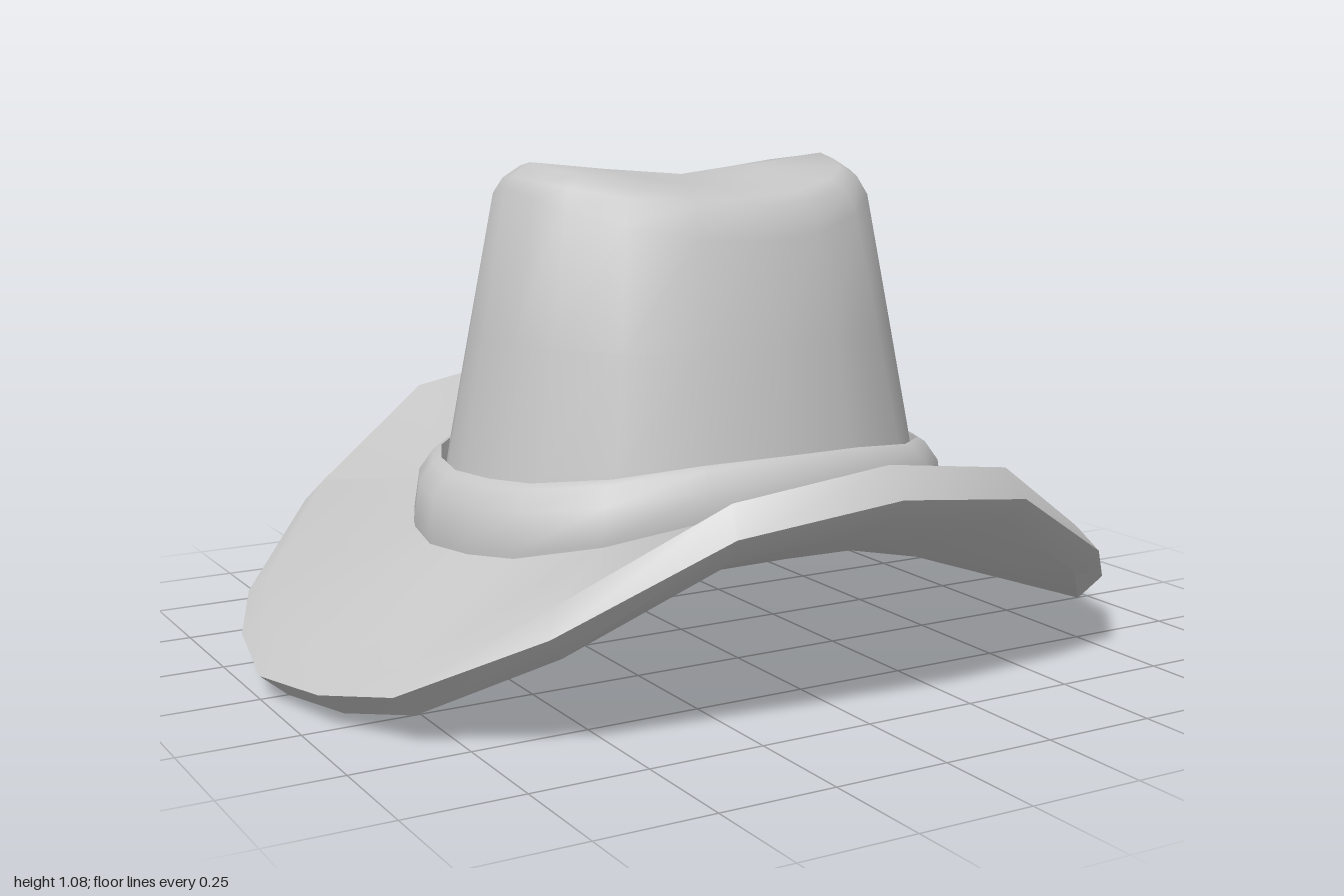
import * as THREE from 'three';
import { toCreasedNormals } from 'three/addons/utils/BufferGeometryUtils.js';

// One quarter of the 20-sided oval, from front centre to the side:
// x factor, z factor, and how far the height leans to the front value.
const QUARTER = [
  [0, 1, 1], [0.34, 0.94, 0.89], [0.66, 0.78, 0.47],
  [0.88, 0.51, 0.14], [0.96, 0.28, 0.05], [1, 0, 0],
];

// Mirror the quarter into a full loop running front -> +x -> back -> -x
const OVAL = [];
for (let i = 0; i < 20; i++) {
  const q = Math.floor(i / 5), k = i % 5;
  const [x, z, w] = QUARTER[q % 2 ? 5 - k : k];
  OVAL.push([q < 2 ? x : -x, q === 0 || q === 3 ? z : -z, w]);
}

// Skin a list of rings [xRadius, zRadius, sideHeight, frontHeight];
// a lower lean makes the height fall away from the sides sooner
function loft(rings, creaseAngle, lean) {
  const n = OVAL.length, pos = [], index = [];
  for (const [rx, rz, ySide, yFront] of rings) {
    for (const [x, z, w] of OVAL) {
      pos.push(x * rx, ySide + (yFront - ySide) * Math.pow(w, lean), z * rz);
    }
  }
  for (let r = 0; r < rings.length - 1; r++) {
    for (let j = 0; j < n; j++) {
      const a = r * n + j, b = r * n + (j + 1) % n, c = b + n, d = a + n;
      if (rings[r][0] > 0) index.push(a, b, rings[r + 1][0] > 0 ? c : d);
      if (rings[r + 1][0] > 0) index.push(a, c, d);
    }
  }
  const geo = new THREE.BufferGeometry();
  geo.setAttribute('position', new THREE.Float32BufferAttribute(pos, 3));
  geo.setIndex(index);
  return toCreasedNormals(geo, creaseAngle);
}

export function createModel() {
  const hat = new THREE.Group();
  hat.name = 'hat';
  const felt = new THREE.MeshStandardMaterial({ color: 0xc6c6c6 });
  felt.name = 'grey felt';

  const add = (name, rings, crease, lean = 1) => {
    const mesh = new THREE.Mesh(loft(rings, crease, lean), felt);
    mesh.name = name;
    hat.add(mesh);
  };

  // Brim with the hollow lining: lining top, down the inside, out under
  // the brim, around the bevelled rim and back in over the top
  add('brimAndLining', [
    [0, 0, 0.96, 0.96],
    [0.33, 0.25, 0.98, 0.92],
    [0.375, 0.29, 0.92, 0.86],
    [0.435, 0.35, 0.6, 0.62],
    [0.47, 0.38, 0.32, 0.38],
    [0.49, 0.4, 0.23, 0.31],
    [0.535, 0.44, 0.175, 0.272],
    [0.94, 0.81, 0.005, 0.43],
    [1, 0.85, 0.055, 0.48],
    [0.95, 0.8, 0.1, 0.54],
    [0.62, 0.5, 0.285, 0.395],
    [0.53, 0.435, 0.33, 0.37],
  ], 0.85);

  // Crown: tapered wall, rounded shoulder and saddle-shaped top
  add('crown', [
    [0.56, 0.46, 0.28, 0.36],
    [0.535, 0.44, 0.44, 0.49],
    [0.485, 0.395, 0.72, 0.71],
    [0.43, 0.345, 1.035, 0.93],
    [0.41, 0.315, 1.06, 1.0],
    [0.37, 0.285, 1.087, 1.017],
    [0.19, 0.15, 1.067, 1.035],
    [0, 0, 1.05, 1.05],
  ], 0.9, 0.6);

  // Rounded band around the foot of the crown
  add('hatBand', [
    [0.605, 0.49, 0.22, 0.33],
    [0.62, 0.5, 0.3, 0.39],
    [0.607, 0.492, 0.385, 0.45],
    [0.575, 0.467, 0.43, 0.487],
    [0.555, 0.453, 0.44, 0.495],
    [0.542, 0.444, 0.36, 0.43],
  ], 0.9);

  return hat;
}
